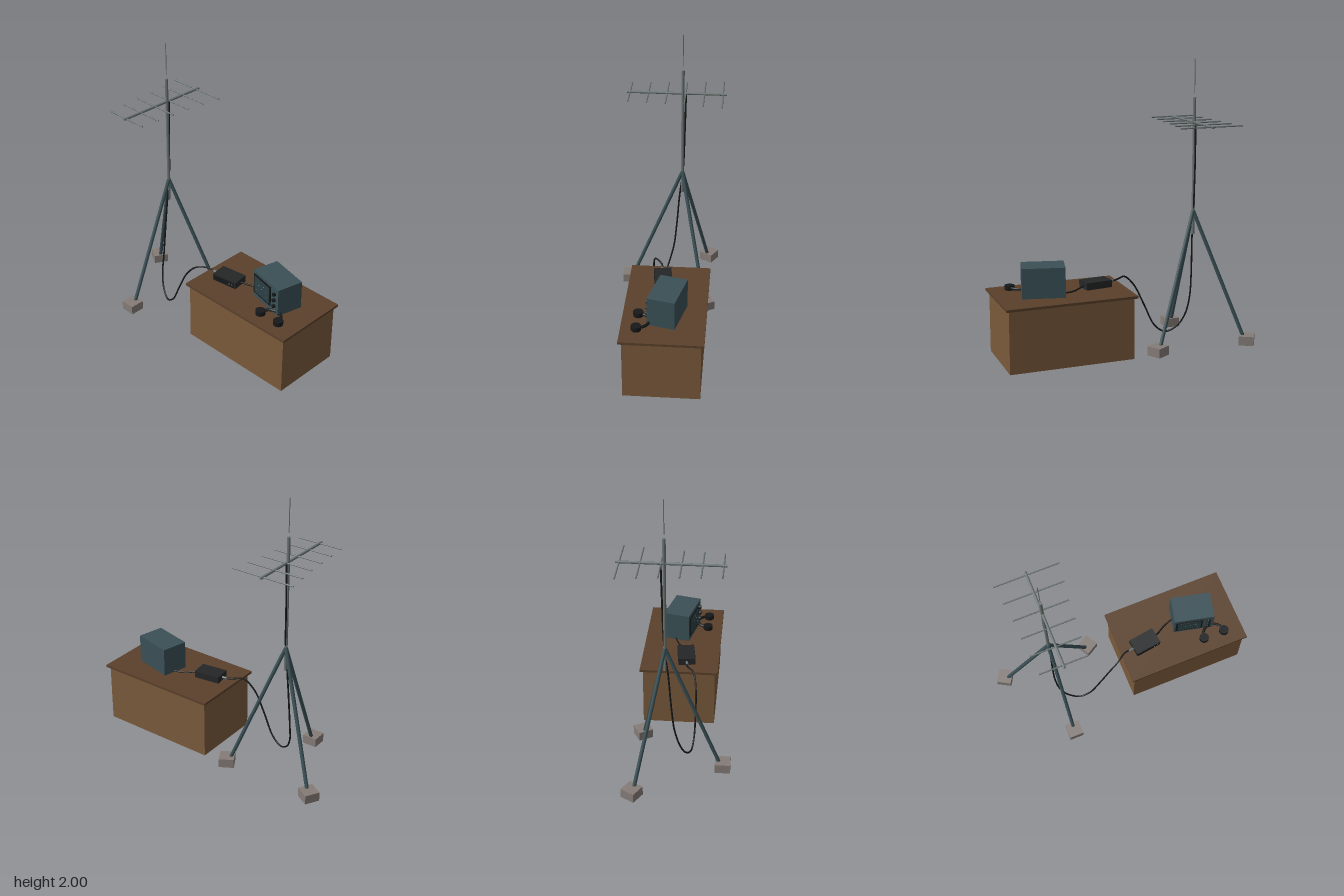
import * as THREE from 'three';

const paint = (name, color) => {
  const m = new THREE.MeshStandardMaterial({ color });
  m.name = name;
  return m;
};

export function createModel() {
  const metal = paint('grey metal', 0x6a7472);
  const teal = paint('dark teal enamel', 0x3a5056);
  const concrete = paint('concrete', 0x857c77);
  const wood = paint('wood', 0x7a5a3b);
  const darkWood = paint('dark wood', 0x5a402b);
  const black = paint('black rubber', 0x161819);
  const charcoal = paint('charcoal', 0x242627);
  const glass = paint('screen glass', 0x2c4044);
  const glow = paint('pale marks', 0x93a8a4);

  const V = (x, y, z) => new THREE.Vector3(x, y, z);
  const UP = V(0, 1, 0);

  function add(parent, name, geometry, material, x = 0, y = 0, z = 0) {
    const mesh = new THREE.Mesh(geometry, material);
    mesh.name = name;
    mesh.position.set(x, y, z);
    parent.add(mesh);
    return mesh;
  }
  const box = (parent, name, mat, w, h, d, x, y, z) =>
    add(parent, name, new THREE.BoxGeometry(w, h, d), mat, x, y, z);
  // Round bar between two points
  function rod(parent, name, mat, a, b, r, sides = 10) {
    const mesh = add(parent, name, new THREE.CylinderGeometry(r, r, a.distanceTo(b), sides), mat);
    mesh.position.copy(a).add(b).multiplyScalar(0.5);
    mesh.quaternion.setFromUnitVectors(UP, b.clone().sub(a).normalize());
    return mesh;
  }
  function cable(parent, name, points, segments) {
    const curve = new THREE.CatmullRomCurve3(points.map(p => V(...p)));
    return add(parent, name, new THREE.TubeGeometry(curve, segments, 0.006, 8), black);
  }
  function group(parent, name, x, y, z, turn = 0) {
    const g = new THREE.Group();
    g.name = name;
    g.position.set(x, y, z);
    g.rotation.y = turn;
    parent.add(g);
    return g;
  }

  const model = new THREE.Group();
  model.name = 'antennaStation';

  // Mast on a tripod with concrete feet
  const antenna = group(model, 'antenna', -0.5, 0, -0.07);
  rod(antenna, 'mast', metal, V(0, 0.79, 0), V(0, 1.74, 0), 0.011, 12);
  rod(antenna, 'whip', metal, V(0, 1.77, 0), V(0, 2, 0), 0.003, 6);
  for (let i = 0; i < 3; i++) {
    const leg = group(antenna, 'tripodLeg', 0, 0, 0, i * Math.PI * 2 / 3);
    rod(leg, 'legTube', teal, V(0, 0.955, 0), V(0, 0.005, 0.388), 0.013);
    box(leg, 'footBlock', concrete, 0.105, 0.065, 0.105, 0, 0.042, 0.39);
  }

  // Directional antenna: boom and six shrinking cross elements
  rod(antenna, 'boom', metal, V(0, 1.57, -0.305), V(0, 1.57, 0.39), 0.009);
  [0.225, 0.208, 0.19, 0.182, 0.173, 0.162].forEach((half, i) => {
    const z = -0.28 + i * 0.13;
    rod(antenna, 'crossElement', metal, V(-half, 1.57, z), V(half, 1.57, z), 0.005, 8);
  });

  // Table
  const table = group(model, 'table', 0.4525, 0, -0.027);
  box(table, 'tableBody', wood, 0.865, 0.43, 0.513, 0, 0.225, 0);
  box(table, 'tableTop', darkWood, 0.905, 0.017, 0.555, 0, 0.447, 0);

  // Monitor with screen, knobs and small marks
  const monitor = group(model, 'monitor', 0.583, 0.455, -0.045, -0.235);
  box(monitor, 'cabinet', teal, 0.29, 0.207, 0.19, 0, 0.1035, 0);
  box(monitor, 'screenFrame', black, 0.195, 0.148, 0.008, -0.035, 0.11, 0.098);
  box(monitor, 'screen', glass, 0.17, 0.124, 0.003, -0.035, 0.11, 0.103);
  [[-0.09, 0.08], [-0.065, 0.125], [-0.03, 0.115], [-0.01, 0.143], [0.012, 0.118], [0.025, 0.08]]
    .forEach(([x, y]) => box(monitor, 'screenMark', glow, 0.005, 0.005, 0.002, x, y, 0.105));
  for (let i = 0; i < 3; i++) {
    const knob = add(monitor, 'knob', new THREE.CylinderGeometry(0.013, 0.013, 0.018, 12), black, 0.106, 0.063 + i * 0.047, 0.102);
    knob.rotation.x = Math.PI / 2;
  }

  // Receiver box
  const receiver = group(model, 'receiver', 0.19, 0.455, 0.013, 0.13);
  box(receiver, 'receiverCase', charcoal, 0.192, 0.05, 0.12, 0, 0.025, 0);
  box(receiver, 'receiverPanel', black, 0.17, 0.036, 0.004, 0, 0.025, 0.061);
  for (const x of [0.045, 0.07]) box(receiver, 'indicator', glow, 0.006, 0.006, 0.002, x, 0.026, 0.064);
  rod(receiver, 'cableSocket', metal, V(-0.135, 0.025, 0), V(-0.09, 0.025, 0), 0.009);

  // Headphones lying in front of the monitor
  const phones = group(model, 'headphones', 0.685, 0.475, 0.145);
  for (const side of [-1, 1]) {
    add(phones, 'earCup', new THREE.CylinderGeometry(0.034, 0.034, 0.032, 16), black, side * 0.079, 0, 0);
  }
  const band = add(phones, 'headband', new THREE.TorusGeometry(0.079, 0.01, 8, 24, Math.PI), black);
  band.rotation.x = -Math.PI / 2;

  // Cables: boom to receiver, receiver to monitor
  cable(model, 'antennaCable', [
    [-0.5, 1.565, -0.092], [-0.503, 1.3, -0.086], [-0.5, 0.97, -0.075], [-0.503, 0.75, -0.05],
    [-0.51, 0.5, -0.03], [-0.509, 0.32, -0.01], [-0.49, 0.18, 0.025], [-0.44, 0.085, 0.06],
    [-0.365, 0.045, 0.092], [-0.29, 0.095, 0.106], [-0.21, 0.255, 0.111], [-0.13, 0.41, 0.106],
    [-0.05, 0.487, 0.083], [0.02, 0.487, 0.037], [0.065, 0.48, 0.026]], 100);
  cable(model, 'monitorCable', [
    [0.28, 0.478, -0.005], [0.32, 0.468, -0.025], [0.37, 0.461, -0.055], [0.46, 0.462, -0.088]], 24);

  return model;
}
